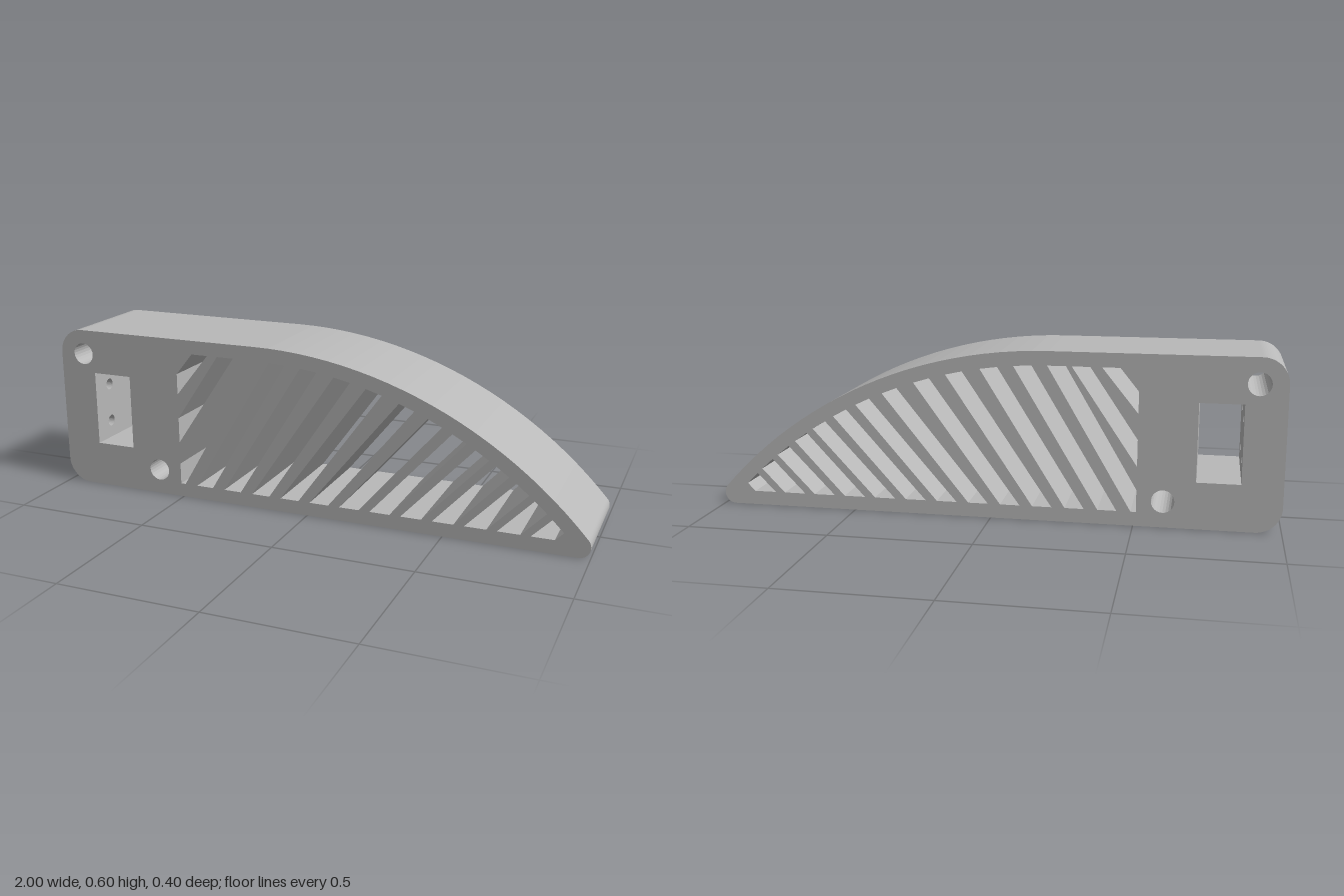
import * as THREE from 'three';

const DEPTH = 0.4;
// Curved back: centre and radius of the large arc, tangent to the flat top
const CX = -0.2, R = 1.594, CY = 0.6 - R;
// Bounds of the slotted area
const RIM = 0.05, SLOT_LEFT = -0.51;

function circleHole(x, y, r) {
  return new THREE.Path().absarc(x, y, r, 0, Math.PI * 2, true);
}

// Where a line rising from (x, RIM) meets the inner rim of the top
function rimPoint(x, slope) {
  const flatX = x + (0.6 - 2 * RIM) / slope;
  if (flatX <= CX) return new THREE.Vector2(flatX, 0.6 - RIM);
  const angle = Math.atan(slope), dx = Math.cos(angle), dy = Math.sin(angle);
  const px = x - CX, py = RIM - CY, b = px * dx + py * dy;
  const t = -b + Math.sqrt(b * b - (px * px + py * py - (R - RIM) ** 2));
  return new THREE.Vector2(x + t * dx, RIM + t * dy);
}

// Foot of a slot edge, moved up to the left limit where needed
function footPoint(x, slope) {
  if (x >= SLOT_LEFT) return new THREE.Vector2(x, RIM);
  return new THREE.Vector2(SLOT_LEFT, RIM + (SLOT_LEFT - x) * slope);
}

function slotHole(x, slope, half) {
  const a = x - half, b = x + half;
  const points = [footPoint(a, slope)];
  if (a < SLOT_LEFT && b > SLOT_LEFT) points.push(new THREE.Vector2(SLOT_LEFT, RIM));
  points.push(footPoint(b, slope), rimPoint(b, slope), rimPoint(a, slope));
  return new THREE.Path(points);
}

function bodyShape() {
  const s = new THREE.Shape();
  const c = 0.09, nose = 0.04;
  const end = Math.atan2(nose - CY, 0.96 - CX);
  s.moveTo(-1 + c, 0);
  s.lineTo(0.96, 0);
  s.absarc(0.96, nose, nose, -Math.PI / 2, end, false);
  s.absarc(CX, CY, R, end, Math.PI / 2, false);
  s.lineTo(-1 + c, 0.6);
  s.absarc(-1 + c, 0.6 - c, c, Math.PI / 2, Math.PI, false);
  // Rectangular window, closed on the outside by the end wall
  s.lineTo(-1, 0.44);
  s.lineTo(-0.71, 0.44);
  s.lineTo(-0.71, 0.165);
  s.lineTo(-1, 0.165);
  s.lineTo(-1, c);
  s.absarc(-1 + c, c, c, Math.PI, Math.PI * 1.5, false);

  // Two round cross holes
  s.holes.push(circleHole(-0.905, 0.51, 0.04), circleHole(-0.6, 0.092, 0.04));

  // Slanted slots, flatter towards the nose
  const angles = [51, 56, 59.5, 59, 58, 56, 54, 51, 49, 48, 47, 47, 46, 46, 45];
  angles.forEach((deg, i) => {
    const x = i === 0 ? -0.82 : i === 1 ? -0.65 : -0.41 + (i - 3) * 0.1138;
    const half = 0.031 + 0.009 * i / 14;
    s.holes.push(slotHole(x, Math.tan(deg * Math.PI / 180), half));
  });
  return s;
}

export function createModel() {
  const group = new THREE.Group();
  const grey = new THREE.MeshStandardMaterial({ color: 0xb8b8b8 });
  grey.name = 'grey';

  // Slotted wedge body
  const bodyGeo = new THREE.ExtrudeGeometry(bodyShape(), {
    depth: DEPTH, bevelEnabled: false, curveSegments: 12,
  });
  bodyGeo.translate(0, 0, -DEPTH / 2);
  const body = new THREE.Mesh(bodyGeo, grey);
  body.name = 'slottedBody';
  group.add(body);

  // End wall with four screw holes leading into the window
  const wall = new THREE.Shape();
  wall.moveTo(-DEPTH / 2, 0.165);
  wall.lineTo(DEPTH / 2, 0.165);
  wall.lineTo(DEPTH / 2, 0.44);
  wall.lineTo(-DEPTH / 2, 0.44);
  wall.closePath();
  for (const z of [-0.11, 0.11]) {
    for (const y of [0.23, 0.375]) wall.holes.push(circleHole(z, y, 0.021));
  }
  const wallGeo = new THREE.ExtrudeGeometry(wall, {
    depth: 0.14, bevelEnabled: false, curveSegments: 12,
  });
  wallGeo.rotateY(Math.PI / 2);
  wallGeo.translate(-1, 0, 0);
  const endWall = new THREE.Mesh(wallGeo, grey);
  endWall.name = 'endWall';
  group.add(endWall);

  return group;
}
